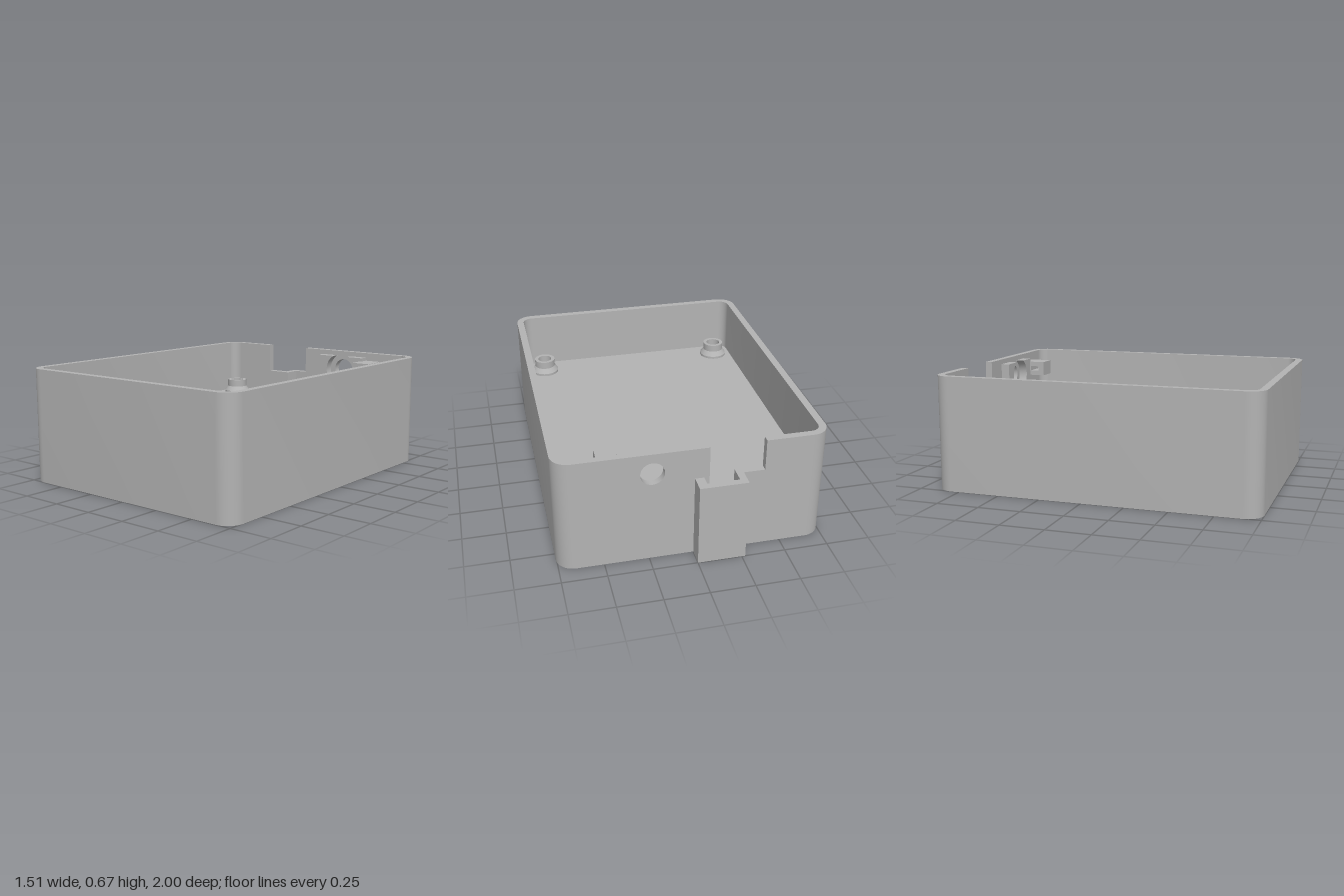
import * as THREE from 'three';
import { toCreasedNormals } from 'three/addons/utils/BufferGeometryUtils.js';

const W = 0.755, H = 0.67, BACK = 0.9, FRONT = 1, R = 0.1, T = 0.042; // shell size, corner radius, wall
const SILL = 0.487, FLOOR_LOW = 0.285, FLOOR_TOP = 0.33;

const polygon = (pts) => new THREE.Shape(pts.map(([x, y]) => new THREE.Vector2(x, y)));

const extrude = (shape, depth) => new THREE.ExtrudeGeometry(shape, { depth, bevelEnabled: false, curveSegments: 12 });

// Plan outline (x, -z) raised from y0 to y1
const raise = (shape, y0, y1) => extrude(shape, y1 - y0).rotateX(-Math.PI / 2).translate(0, y0, 0);

// Elevation outline (x, y) given thickness from z0 to z1
const upright = (shape, z0, z1) => extrude(shape, z1 - z0).translate(0, 0, z0);

// Rounded path from the back +x corner round the front to the back -x corner
function cornerPoints(r) {
  const pts = [], cx = W - R;
  const corners = [[cx, BACK - R, 90], [cx, R - FRONT, 0], [-cx, R - FRONT, -90], [-cx, BACK - R, -180]];
  for (const [x, y, start] of corners)
    for (let i = 0; i <= 10; i++) {
      const a = THREE.MathUtils.degToRad(start - i * 9);
      pts.push([x + r * Math.cos(a), y + r * Math.sin(a)]);
    }
  return pts;
}

export function createModel() {
  const grey = new THREE.MeshStandardMaterial({ color: 0xb3b3b3 });
  grey.name = 'grey plastic';
  const group = new THREE.Group();
  group.name = 'enclosure';
  const add = (name, geo) => {
    const mesh = new THREE.Mesh(toCreasedNormals(geo, 0.5), grey);
    mesh.name = name;
    group.add(mesh);
    return mesh;
  };

  // Front and side walls with all four rounded corners
  const outer = cornerPoints(R), inner = cornerPoints(R - T);
  add('sideWalls', raise(polygon([...outer, ...[...inner].reverse()]), 0, H));

  // Partition floor halfway up
  add('floor', raise(polygon(inner), FLOOR_LOW, FLOOR_TOP));

  // Back wall, in two pieces either side of the cable opening
  const e = W - R;
  add('backWallRight', upright(polygon([
    [-e, 0], [-0.23, 0], [-0.23, SILL], [-0.39, SILL], [-0.39, H], [-e, H],
  ]), -BACK, T - BACK));
  const left = polygon([[-0.08, 0], [e, 0], [e, H], [-0.08, H]]);
  const port = new THREE.Vector2(0.23, 0.55);
  left.holes.push(new THREE.Path().absarc(port.x, port.y, 0.067, 0, Math.PI * 2, true));
  add('backWallLeft', upright(left, -BACK, T - BACK));

  // Cable channel standing out behind the opening
  add('cableChannel', raise(polygon([
    [-0.27, 0.9], [-0.27, 1], [0, 1], [0, 0.9], [-0.05, 0.9], [-0.05, 0.96], [-0.23, 0.96], [-0.23, 0.9],
  ]), 0, SILL));

  // Pads hollowed to a round seat on either side of the port
  for (const side of [-1, 1]) {
    const pts = [[0.17, 0.09], [0.17, -0.09]];
    const a0 = Math.atan2(0.09, 0.05), r = Math.hypot(0.09, 0.05);
    for (let i = 0; i <= 12; i++) {
      const a = -a0 + (2 * a0 * i) / 12;
      pts.push([r * Math.cos(a), r * Math.sin(a)]);
    }
    const shape = polygon(pts.map(([x, y]) => [port.x + side * x, port.y + y]));
    add(side < 0 ? 'portPadRight' : 'portPadLeft', upright(shape, T - BACK, -0.805));
  }

  // Pierced lug beside the port, outlined in (-z, y)
  const lug = polygon([[0.705, 0.53], [0.86, 0.53], [0.86, 0.62], [0.705, 0.62]]);
  lug.holes.push(polygon([[0.745, 0.56], [0.745, 0.59], [0.8, 0.59], [0.8, 0.56]]));
  add('tieLug', extrude(lug, 0.12).rotateY(Math.PI / 2).translate(0.39, 0, 0));

  // Screw posts through the floor, with a blind hole at each end
  const profile = [
    [0, 0.25], [0.042, 0.25], [0.042, 0.003], [0.074, 0.003], [0.074, FLOOR_TOP], [0.087, FLOOR_TOP],
    [0.087, 0.345], [0.066, 0.375], [0.066, 0.42], [0.044, 0.42], [0.044, 0.335], [0, 0.335],
  ].map(([x, y]) => new THREE.Vector2(x, y));
  for (const x of [-0.595, 0.595])
    for (const z of [-0.74, 0.835])
      add('screwPost', new THREE.LatheGeometry(profile, 32)).position.set(x, 0, z);

  return group;
}
